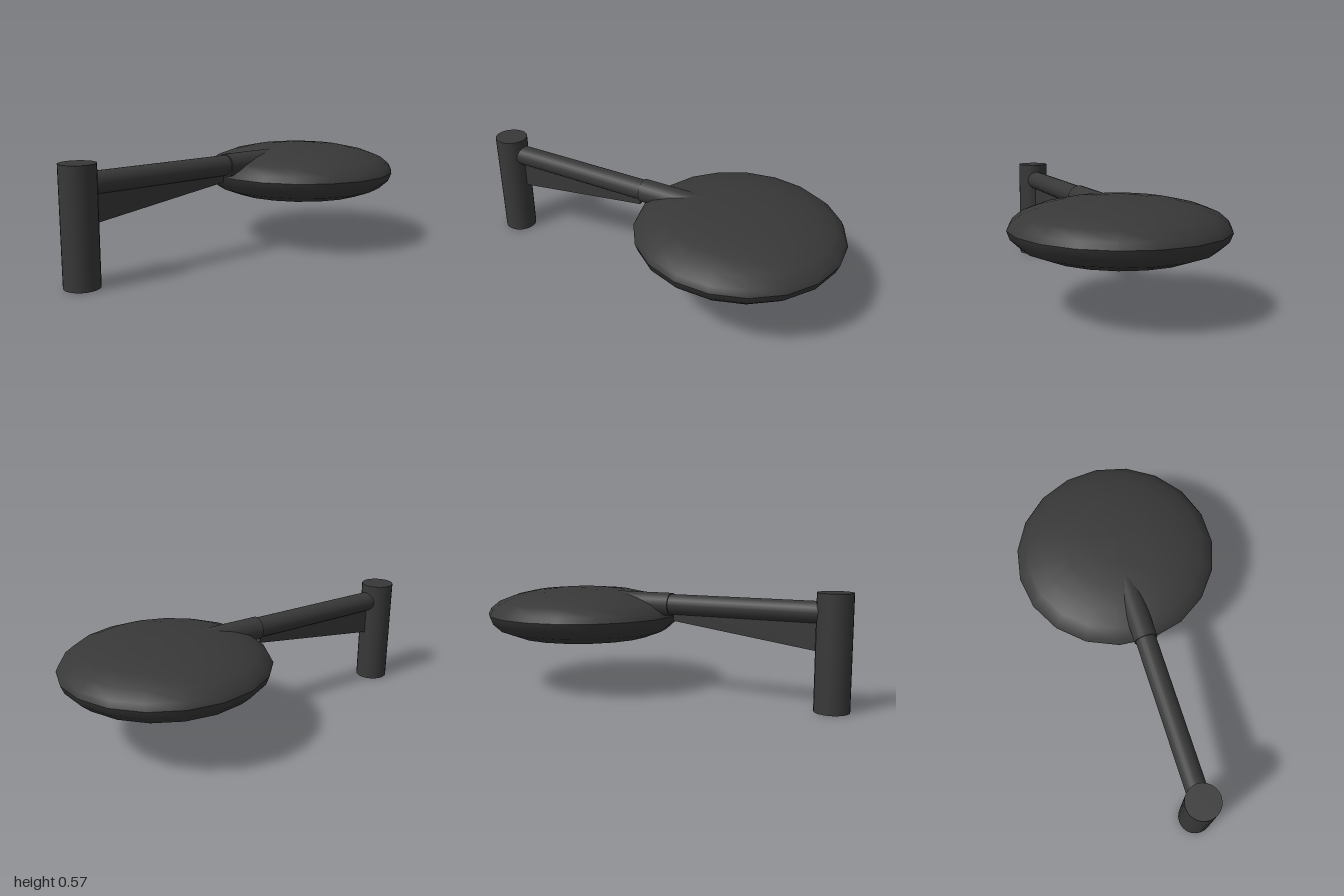
import * as THREE from 'three';

export function createModel() {
  const model = new THREE.Group();
  const black = new THREE.MeshStandardMaterial({ color: 0x383838 });
  black.name = 'blackMetal';
  const glass = new THREE.MeshStandardMaterial({ color: 0x4c585d });
  glass.name = 'lensGlass';
  const Z = 0.004; // shared centre line
  const SIDES = 19;

  const add = (name, geometry, material, x, y) => {
    const mesh = new THREE.Mesh(geometry, material);
    mesh.name = name;
    mesh.position.set(x, y, Z);
    model.add(mesh);
    return mesh;
  };
  // horizontal round bar between two x positions
  const bar = (name, radius, x0, x1, y) =>
    add(name, new THREE.CylinderGeometry(radius, radius, x1 - x0, 24).rotateZ(Math.PI / 2), black, (x0 + x1) / 2, y);

  // upright mounting post
  add('post', new THREE.CylinderGeometry(0.086, 0.086, 0.567, 24), black, -0.914, 0.2835);

  // arm and the wider socket that runs into the lamp head
  bar('arm', 0.053, -0.9, 0, 0.471);
  bar('armSocket', 0.06, -0.063, 0.28, 0.47);

  // tapered brace under the arm
  const brace = new THREE.Shape([
    [-0.85, 0.284], [-0.08, 0.386], [-0.08, 0.45], [-0.85, 0.45],
  ].map(([x, y]) => new THREE.Vector2(x, y)));
  const thick = 0.02;
  add('brace', new THREE.ExtrudeGeometry(brace, { depth: thick, bevelEnabled: false })
    .translate(0, 0, -thick / 2), black, 0, 0);

  // flattened lamp head: lower bowl and upper dome
  const lathe = (pts) => new THREE.LatheGeometry(
    pts.map(([r, y]) => new THREE.Vector2(r, y)), SIDES, Math.PI);
  add('headBowl', lathe([
    [0.365, 0.28], [0.46, 0.316], [0.506, 0.358], [0.522, 0.4],
  ]), black, 0.478, 0);
  add('headDome', lathe([
    [0.522, 0.4], [0.507, 0.43], [0.46, 0.469], [0.375, 0.501],
    [0.265, 0.525], [0.135, 0.537], [0, 0.54],
  ]), black, 0.478, 0);

  // lens closing the underside
  add('lens', new THREE.CircleGeometry(0.365, SIDES, -Math.PI / 2).rotateX(Math.PI / 2), glass, 0.478, 0.28);

  // small dark oval on the lens
  const spot = add('lensSpot', new THREE.CylinderGeometry(1, 1, 0.004, 16), black, 0.28, 0.28);
  spot.scale.set(0.018, 1, 0.042);

  return model;
}
